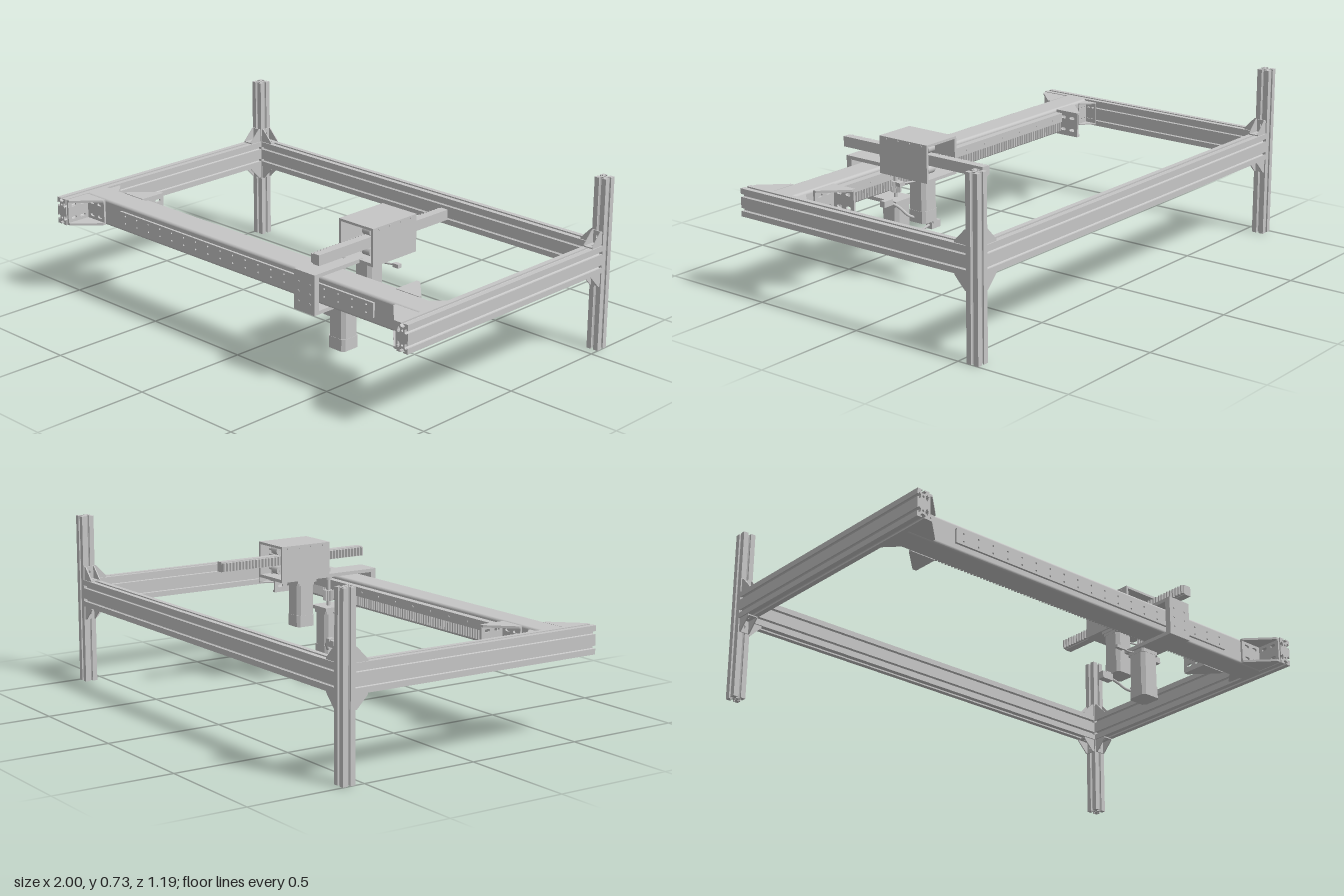
import * as THREE from 'three';

const metal = new THREE.MeshStandardMaterial({ color: 0xc6c6c6 });
metal.name = 'light machined grey';
const V = (x, y, z) => new THREE.Vector3(x, y, z);

function add(parent, name, geo, x = 0, y = 0, z = 0) {
  const m = new THREE.Mesh(geo, metal);
  m.name = name;
  m.position.set(x, y, z);
  parent.add(m);
  return m;
}

// box given by its limits on each axis
function block(parent, name, x0, x1, y0, y1, z0, z1) {
  return add(parent, name, new THREE.BoxGeometry(x1 - x0, y1 - y0, z1 - z0),
    (x0 + x1) / 2, (y0 + y1) / 2, (z0 + z1) / 2);
}

const cyl = (r, h, n = 20) => new THREE.CylinderGeometry(r, r, h, n);

// extrusion along z, centred on its length
function extrude(shape, depth) {
  const g = new THREE.ExtrudeGeometry(shape, { depth, bevelEnabled: false, curveSegments: 6 });
  return g.translate(0, 0, -depth / 2);
}

const poly = pts => new THREE.Shape(pts.map(p => new THREE.Vector2(p[0], p[1])));

function hole(shape, x, y, r) {
  const p = new THREE.Path();
  p.absarc(x, y, r, 0, Math.PI * 2, true);
  shape.holes.push(p);
}

function slotHole(shape, x, y, halfLength, r) {
  const p = new THREE.Path();
  p.absarc(x - halfLength, y, r, Math.PI / 2, Math.PI * 1.5, false);
  p.absarc(x + halfLength, y, r, -Math.PI / 2, Math.PI / 2, false);
  shape.holes.push(p);
}

// slotted aluminium profile, nx by ny cells
function profile(w, h, nx, ny, length) {
  const pts = [];
  const corners = [[-w / 2, -h / 2], [w / 2, -h / 2], [w / 2, h / 2], [-w / 2, h / 2]];
  const slot = [[-.006, 0], [-.006, .006], [-.012, .006], [-.012, .009], [-.006, .016],
    [.006, .016], [.012, .009], [.012, .006], [.006, .006], [.006, 0]];
  corners.forEach((c, i) => {
    const e = corners[(i + 1) % 4], n = i % 2 ? ny : nx, len = i % 2 ? h : w;
    const dx = (e[0] - c[0]) / len, dy = (e[1] - c[1]) / len;
    pts.push(c);
    for (let k = 0; k < n; k++) {
      const mid = len * (k + .5) / n;
      for (const [a, d] of slot) pts.push([c[0] + dx * (mid + a) - dy * d, c[1] + dy * (mid + a) + dx * d]);
    }
  });
  const s = poly(pts);
  for (let k = 0; k < ny; k++) hole(s, 0, -h / 2 + h * (k + .5) / ny, .005);
  return extrude(s, length);
}

// toothed bar along x, teeth facing -z
function rack(length, depth, height, pitch) {
  const n = Math.round(length / pitch), p = length / n, root = depth * .55;
  const pts = [[-length / 2, 0], [length / 2, 0]];
  for (let i = n - 1; i >= 0; i--) {
    const x = -length / 2 + i * p;
    pts.push([x + p * .95, root], [x + p * .7, depth], [x + p * .35, depth], [x + p * .1, root]);
  }
  pts.push([-length / 2, root]);
  return extrude(poly(pts), height).rotateX(-Math.PI / 2);
}

function gear(r, h, n = 16) {
  const pts = [];
  for (let i = 0; i < n * 4; i++) {
    const a = i / (n * 4) * Math.PI * 2, q = i % 4 < 2 ? r : r * .82;
    pts.push([q * Math.cos(a), q * Math.sin(a)]);
  }
  return extrude(poly(pts), h).rotateX(-Math.PI / 2);
}

// corner bracket: two slotted plates along u and v with triangular cheeks
function bracket(parent, name, corner, u, v, leg, width, rows) {
  const g = new THREE.Group(), t = leg * .08;
  g.name = name;
  const cheek = poly([[0, 0], [leg, 0], [leg, leg * .12], [leg * .15, leg], [0, leg]]);
  for (const s of [-1, 1]) add(g, 'bracketCheek', extrude(cheek, t), 0, 0, s * (width - t) / 2);
  const plate = poly([[0, -width / 2], [leg, -width / 2], [leg, width / 2], [0, width / 2]]);
  for (let i = 0; i < rows; i++) {
    const y = rows > 1 ? (i - .5) * width * .5 : 0;
    for (const x of rows > 1 ? [.33, .74] : [.58]) slotHole(plate, leg * x, y, leg * .06, leg * .055);
  }
  add(g, 'bracketFoot', extrude(plate, t).rotateX(Math.PI / 2), 0, t / 2, 0);
  add(g, 'bracketWall', extrude(plate, t).rotateX(Math.PI / 2).rotateZ(Math.PI / 2), t / 2, 0, 0);
  g.applyMatrix4(new THREE.Matrix4().makeBasis(u, v, u.clone().cross(v)).setPosition(corner));
  parent.add(g);
}

// stepper motor hanging down from its top face, with a shaft
function motor(parent, name, x, z, y0, y1, w, shaftTop) {
  const g = new THREE.Group();
  g.name = name;
  const oct = (s, c) => poly([[-s + c, -s], [s - c, -s], [s, -s + c], [s, s - c], [s - c, s], [-s + c, s], [-s, s - c], [-s, -s + c]]);
  const part = (n, s, c, a, b) => add(g, n, extrude(oct(s, c), b - a).rotateX(-Math.PI / 2), x, (a + b) / 2, z);
  part('motorCap', w / 2, w * .13, y0, y0 + .05);
  part('motorBody', w / 2 - .001, w * .16, y0 + .05, y1 - .015);
  part('motorFlange', w / 2, w * .08, y1 - .015, y1);
  add(g, 'motorShaft', cyl(.008, shaftTop - y1), x, (y1 + shaftTop) / 2, z);
  parent.add(g);
}

const cable = (parent, name, pts, r) => add(parent, name,
  new THREE.TubeGeometry(new THREE.CatmullRomCurve3(pts), 20, r, 8));

export function createModel() {
  const root = new THREE.Group();
  root.name = 'gantryMachine';

  // outer frame
  const frame = new THREE.Group();
  frame.name = 'frame';
  root.add(frame);
  add(frame, 'backRail', profile(.055, .115, 1, 2, 1.89).rotateY(Math.PI / 2), 0, .3925, -.5675);
  for (const s of [-1, 1]) {
    add(frame, 'post', profile(.055, .055, 1, 1, .725).rotateX(-Math.PI / 2), s * .9725, .3625, -.5675);
    add(frame, 'sideRail', profile(.055, .115, 1, 2, 1.135), s * .9725, .3925, .0275);
    const inward = V(-s, 0, 0), front = V(0, 0, 1), back = V(0, 0, -1);
    for (const d of [-1, 1]) {
      const y = .3925 + d * .0575, up = V(0, d, 0);
      bracket(frame, 'postBracket', V(s * .945, y, -.5675), inward, up, .058, .045, 1);
      bracket(frame, 'postBracket', V(s * .9725, y, -.54), front, up, .058, .045, 1);
    }
    bracket(frame, 'frontBracket', V(s * .945, .3925, .475), inward, front, .115, .11, 2);
    bracket(frame, 'innerBracket', V(s * .945, .3925, .36), inward, back, .058, .1, 2);
    bracket(frame, 'beamBracket', V(s * .725, .3925, .36), V(s, 0, 0), back, .115, .11, 2);
  }

  // cross beam with rounded edges
  const beam = new THREE.Group();
  beam.name = 'crossBeam';
  root.add(beam);
  const sec = new THREE.Shape(), b = .0575, r = .012;
  [[1, 1], [-1, 1], [-1, -1], [1, -1]].forEach(([x, y], i) =>
    sec.absarc(x * (b - r), y * (b - r), r, i * Math.PI / 2, (i + 1) * Math.PI / 2, false));
  add(beam, 'beamTube', extrude(sec, 1.89).rotateY(Math.PI / 2), 0, .3925, .4175);
  const strip = poly([[-.725, -.03], [.725, -.03], [.725, .03], [-.725, .03]]);
  for (let i = 0; i < 20; i++) for (const y of [-.016, .016]) hole(strip, -.69 + i * 1.38 / 19, y, .004);
  add(beam, 'frontStrip', extrude(strip, .01), 0, .395, .48);
  // rear guide rail, screws and rack
  block(beam, 'rearRail', -.725, .725, .395, .435, .33, .36);
  for (let i = 0; i < 12; i++)
    add(beam, 'railScrew', cyl(.005, .004, 10).rotateX(Math.PI / 2), -.66 + i * .12, .415, .329);
  add(beam, 'rearRack', rack(1.45, .03, .04, .016), 0, .375, .36);

  // carriage clamp around the beam
  const carriage = new THREE.Group();
  carriage.name = 'carriage';
  root.add(carriage);
  block(carriage, 'clampFront', .355, .465, .31, .475, .505, .53);
  block(carriage, 'clampTop', .355, .465, .46, .475, .265, .506);
  block(carriage, 'clampBottom', .355, .465, .31, .325, .265, .506);
  for (const x of [.38, .44]) for (const y of [.35, .39, .43])
    add(carriage, 'clampScrew', cyl(.005, .004, 10).rotateX(Math.PI / 2), x, y, .531);
  motor(carriage, 'driveMotor', .409, .316, .105, .31, .09, .49);
  add(carriage, 'drivePinion', gear(.022, .045), .409, .37, .315);
  add(carriage, 'shaftBearing', cyl(.016, .02), .409, .45, .315);
  // plugs and cables
  cable(carriage, 'motorCable', [V(.37, .14, .285), V(.35, .15, .27), V(.33, .175, .25), V(.29, .192, .24)], .006);
  block(carriage, 'motorPlug', .24, .295, .175, .205, .225, .255);
  block(carriage, 'motorPlugTip', .265, .29, .2, .212, .22, .25);
  block(carriage, 'sensor', .262, .3, .295, .308, .302, .318);
  cable(carriage, 'sensorLead', [V(.3, .302, .31), V(.33, .298, .31), V(.36, .302, .31)], .004);

  // hollow housing, open front and back
  const head = new THREE.Group();
  head.name = 'armHead';
  root.add(head);
  const shell = poly([[-.09, -.0775], [.09, -.0775], [.09, .0775], [-.09, .0775]]);
  shell.holes.push(poly([[-.08, -.0645], [-.08, .0675], [.08, .0675], [.08, -.0645]]));
  add(head, 'housing', extrude(shell, .245), .445, .5375, .1625);
  for (const z of [.07, .13, .19, .25]) for (const x of [.354, .536])
    add(head, 'housingScrew', cyl(.005, .004, 10).rotateZ(Math.PI / 2), x, .606, z);
  motor(head, 'armMotor', .409, .172, .255, .45, .088, .575);
  block(head, 'armMotorMount', .362, .458, .447, .474, .125, .22);
  add(head, 'armPinion', gear(.026, .045), .413, .538, .172);
  for (const z of [.09, .235]) {
    add(head, 'sideRoller', cyl(.017, .05), .504, .538, z);
    add(head, 'rollerAxle', cyl(.006, .13), .504, .538, z);
    add(head, 'topRoller', cyl(.018, .04).rotateZ(Math.PI / 2), .466, .58, z);
    add(head, 'bottomRoller', cyl(.018, .04).rotateZ(Math.PI / 2), .466, .496, z);
    for (const y of [.58, .496])
      add(head, 'rollerAxle', cyl(.006, .08).rotateZ(Math.PI / 2), .485, y, z);
  }
  cable(head, 'armMotorCable', [V(.44, .27, .18), V(.47, .285, .195), V(.495, .32, .225), V(.53, .345, .24)], .006);
  block(head, 'armMotorPlug', .525, .575, .335, .36, .228, .252);
  cable(head, 'armSensorLead', [V(.45, .43, .165), V(.5, .435, .165), V(.54, .44, .165)], .004);
  block(head, 'armSensor', .535, .565, .432, .448, .155, .175);

  // sliding arm with a rack on its side
  const arm = new THREE.Group();
  arm.name = 'slidingArm';
  root.add(arm);
  block(arm, 'armBar', .452, .485, .517, .56, -.2, .525);
  add(arm, 'armRack', rack(.725, .016, .036, .016).rotateY(Math.PI / 2), .453, .5385, .1625);

  return root;
}
